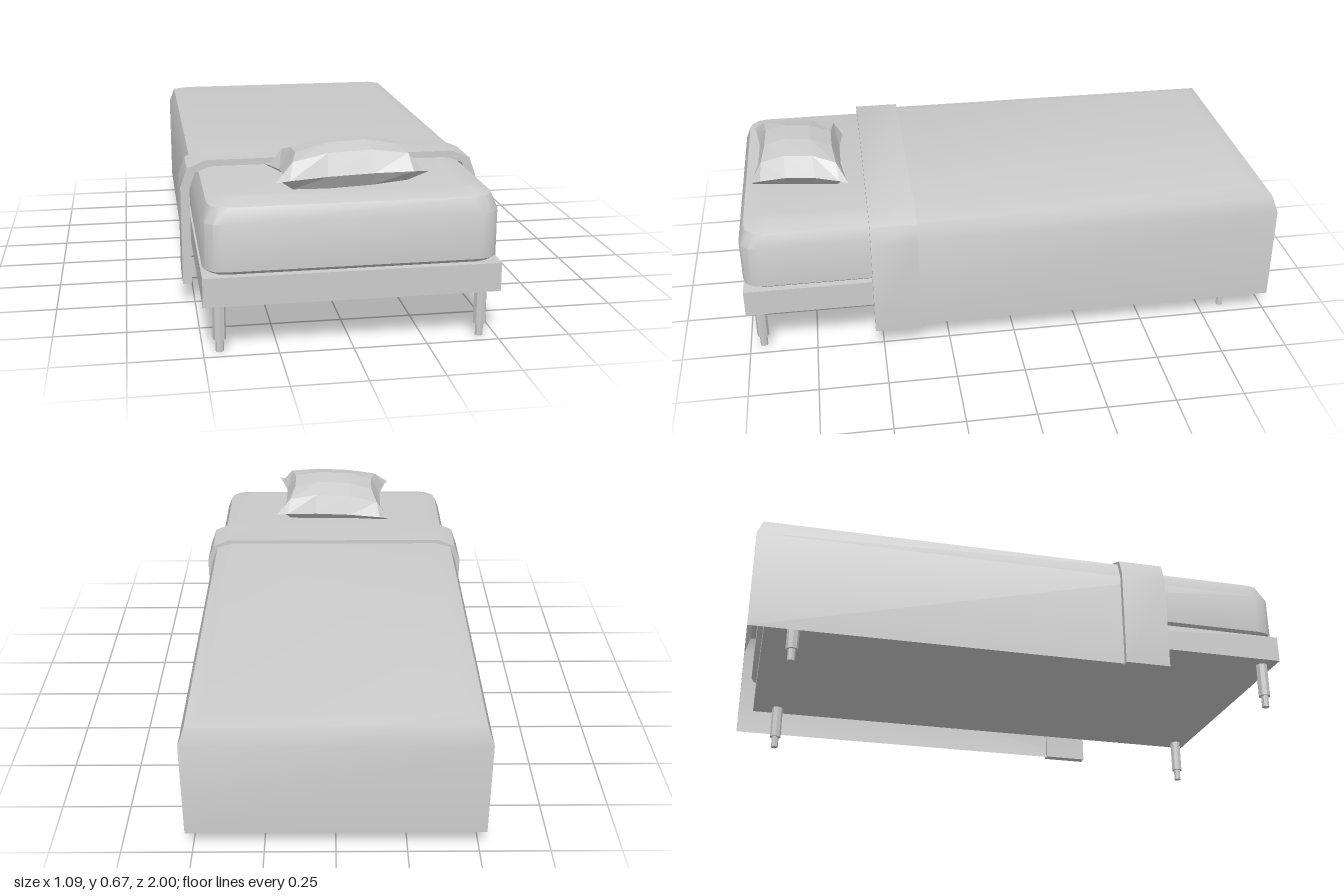
import * as THREE from 'three';
import { toCreasedNormals, mergeGeometries } from 'three/addons/utils/BufferGeometryUtils.js';

const MAT = new THREE.MeshStandardMaterial({ color: 0xcccccc, side: THREE.DoubleSide });
const FLAT = new THREE.MeshStandardMaterial({ color: 0xcccccc, flatShading: true, side: THREE.DoubleSide });

function add(parent, name, geometry, material = MAT) {
  const mesh = new THREE.Mesh(geometry, material);
  mesh.name = name;
  parent.add(mesh);
  return mesh;
}

// Skin a stack of equal-length rings ([x, y, z] points, counter-clockwise seen from above).
function loft(rings, { closed = true, bottom = false } = {}) {
  const n = rings[0].length;
  const pos = rings.flat(2);
  const index = [];
  for (let r = 0; r < rings.length - 1; r++) {
    for (let i = 0; i < (closed ? n : n - 1); i++) {
      const a = r * n + i, b = r * n + (i + 1) % n;
      index.push(a, b, b + n, a, b + n, a + n);
    }
  }
  const top = (rings.length - 1) * n;
  for (let i = 1; i < n - 1; i++) {
    index.push(top, top + i, top + i + 1);
    if (bottom) index.push(0, i + 1, i);
  }
  const g = new THREE.BufferGeometry();
  g.setAttribute('position', new THREE.Float32BufferAttribute(pos, 3));
  g.setIndex(index);
  return toCreasedNormals(g, 0.6);
}

// Horizontal rounded rectangle ring.
function roundedRing(y, halfW, zBack, zFront, r, steps = 3) {
  const ring = [];
  const corners = [[1, zFront - r], [1, zBack + r], [-1, zBack + r], [-1, zFront - r]];
  corners.forEach(([sx, cz], c) => {
    for (let i = 0; i <= steps; i++) {
      const a = Math.PI / 2 * (c - 1 + i / steps);
      ring.push([sx * (halfW - r) + r * Math.cos(a), y, cz - r * Math.sin(a)]);
    }
  });
  return ring;
}

// Arch-shaped cross-section of the folded sheet, half profile mirrored.
function foldShape() {
  const outer = [[0.543, 0.083], [0.543, 0.45], [0.518, 0.517], [0.45, 0.545]];
  const inner = [[0.44, 0.52], [0.49, 0.5], [0.51, 0.44], [0.51, 0.083]];
  const flip = (pts) => pts.map(([x, y]) => [-x, y]).reverse();
  const pts = [...outer, ...flip(outer), ...flip(inner), ...inner];
  return new THREE.Shape(pts.map(([x, y]) => new THREE.Vector2(x, y)));
}

// One half of the pillow: a puffed grid with pinched sides.
function pillowHalf(height, up) {
  const g = new THREE.PlaneGeometry(2, 2, 5, 5).rotateX(up ? -Math.PI / 2 : Math.PI / 2);
  const p = g.attributes.position;
  for (let i = 0; i < p.count; i++) {
    const u = Math.sin(p.getX(i) * Math.PI / 2), v = Math.sin(p.getZ(i) * Math.PI / 2);
    const puff = Math.sqrt(Math.max(0, (1 - u ** 4) * (1 - v ** 4)));
    const seam = 0.565 + 0.01 * u + 0.014 * v;
    p.setXYZ(i,
      0.253 * u * (1 - 0.18 * (1 - v * v)),
      Math.max(0.518, seam + (up ? 1 : -1) * height * puff),
      0.77 + 0.18 * v * (1 - 0.15 * (1 - u * u)));
  }
  return g;
}

export function createModel() {
  const bed = new THREE.Group();
  bed.name = 'bed';

  // Base frame
  add(bed, 'frame', new THREE.BoxGeometry(1, 0.1, 1.94).translate(0, 0.224, 0.03));

  // Stepped legs
  for (const z of [0.95, -0.84]) {
    for (const x of [-0.445, 0.445]) {
      const leg = new THREE.Group();
      leg.name = 'leg';
      leg.position.set(x, 0, z);
      add(leg, 'legPost', new THREE.CylinderGeometry(0.022, 0.022, 0.135, 8).translate(0, 0.1115, 0), FLAT);
      add(leg, 'legFoot', new THREE.CylinderGeometry(0.014, 0.014, 0.046, 8).translate(0, 0.023, 0), FLAT);
      bed.add(leg);
    }
  }

  // Mattress: y, inset, corner radius
  const layers = [[0.277, 0.02, 0.06], [0.292, 0, 0.07], [0.45, 0, 0.07], [0.503, 0.02, 0.07], [0.522, 0.075, 0.05]];
  add(bed, 'mattress', loft(
    layers.map(([y, d, r]) => roundedRing(y, 0.496 - d, -0.96 + d, 1 - d, r)), { bottom: true }));

  // Blanket: open below and towards the pillow; y, half width, back z
  const drape = [[0.085, 0.522, -1], [0.45, 0.522, -1], [0.512, 0.5, -0.98], [0.53, 0.435, -0.92]];
  add(bed, 'blanket', loft(
    drape.map(([y, w, z]) => [[w, y, 0.5], [w, y, z], [-w, y, z], [-w, y, 0.5]]), { closed: false }));

  // Folded-back sheet
  const fold = new THREE.ExtrudeGeometry(foldShape(), { depth: 0.17, bevelEnabled: false });
  add(bed, 'foldedSheet', toCreasedNormals(fold.translate(0, 0, 0.36), 0.6));

  // Pillow
  add(bed, 'pillow', mergeGeometries([pillowHalf(0.1, true), pillowHalf(0.06, false)]), FLAT);

  return bed;
}
